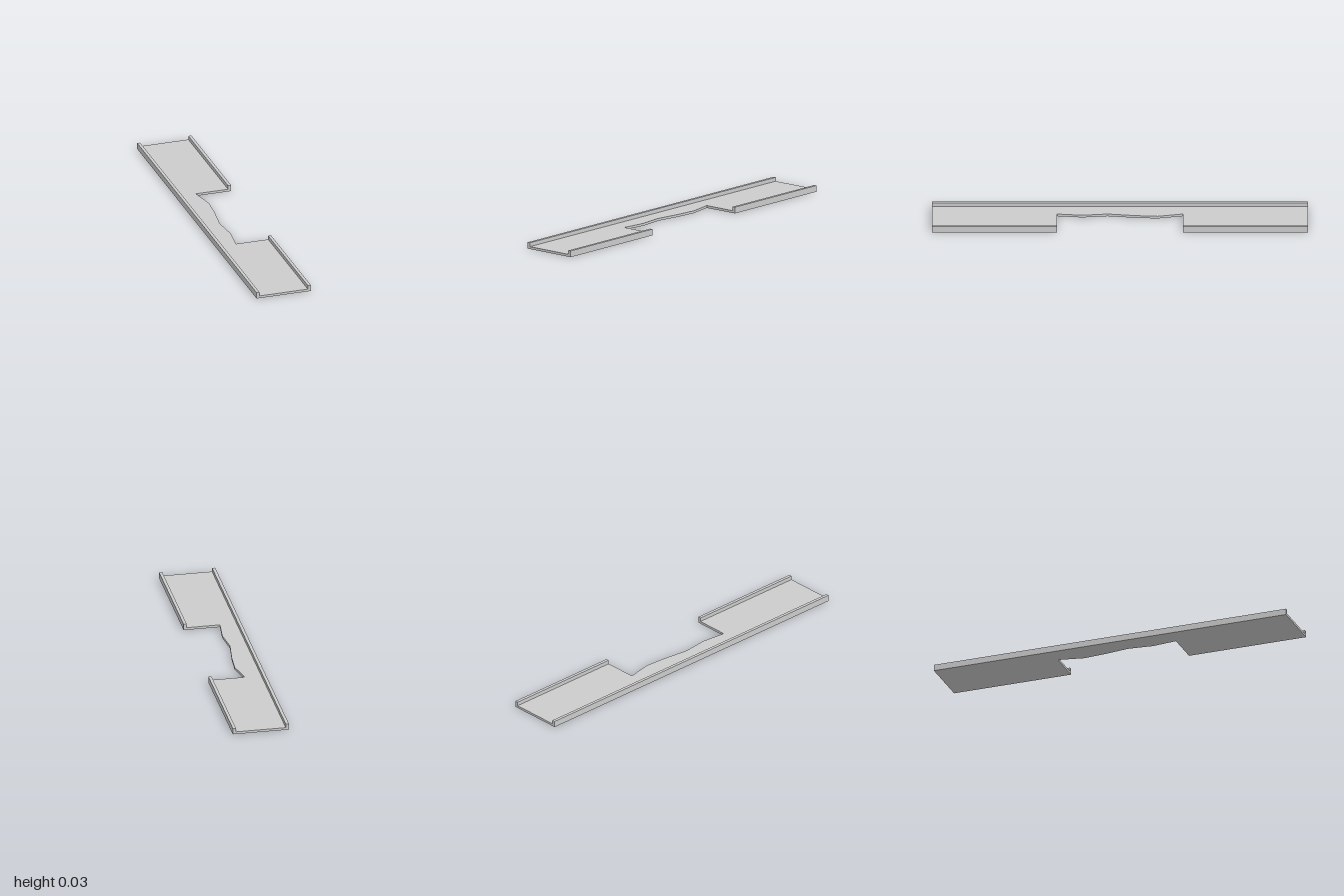
import * as THREE from 'three';

const HALF_LENGTH = 1;
const HALF_WIDTH = 0.152;
const RAIL_WIDTH = 0.017;
const RAIL_HEIGHT = 0.034;
const DECK_HEIGHT = 0.013;
const GAP = 0.335; // half length of the broken-out section

const material = new THREE.MeshStandardMaterial({ color: 0xcccccc, flatShading: true });

// Kerb running along z on one side of the deck
function makeRail(name, side, zStart, zEnd) {
  const length = zEnd - zStart;
  const rail = new THREE.Mesh(new THREE.BoxGeometry(RAIL_WIDTH, RAIL_HEIGHT, length), material);
  rail.name = name;
  rail.position.set(side * (HALF_WIDTH - RAIL_WIDTH / 2), RAIL_HEIGHT / 2, zStart + length / 2);
  return rail;
}

// Flat deck with a jagged bite taken out of its left side
function makeDeck() {
  const inner = HALF_WIDTH - RAIL_WIDTH;
  const outline = [
    [-inner, HALF_LENGTH], [inner, HALF_LENGTH], [inner, GAP],
    // broken edge, front to back
    [-0.045, GAP], [-0.03, 0.2], [-0.045, 0.065], [-0.025, -0.085], [-0.017, -0.2], [-0.045, -GAP],
    [inner, -GAP], [inner, -HALF_LENGTH], [-inner, -HALF_LENGTH],
  ];
  const shape = new THREE.Shape(outline.map(([x, z]) => new THREE.Vector2(x, -z)));
  const geometry = new THREE.ExtrudeGeometry(shape, { depth: DECK_HEIGHT, bevelEnabled: false });
  geometry.rotateX(-Math.PI / 2);
  const deck = new THREE.Mesh(geometry, material);
  deck.name = 'deck';
  return deck;
}

export function createModel() {
  const model = new THREE.Group();
  model.name = 'brokenBridge';
  model.add(
    makeDeck(),
    makeRail('rightRail', -1, -HALF_LENGTH, HALF_LENGTH),
    makeRail('leftRailFront', 1, GAP, HALF_LENGTH),
    makeRail('leftRailBack', 1, -HALF_LENGTH, -GAP),
  );
  return model;
}
